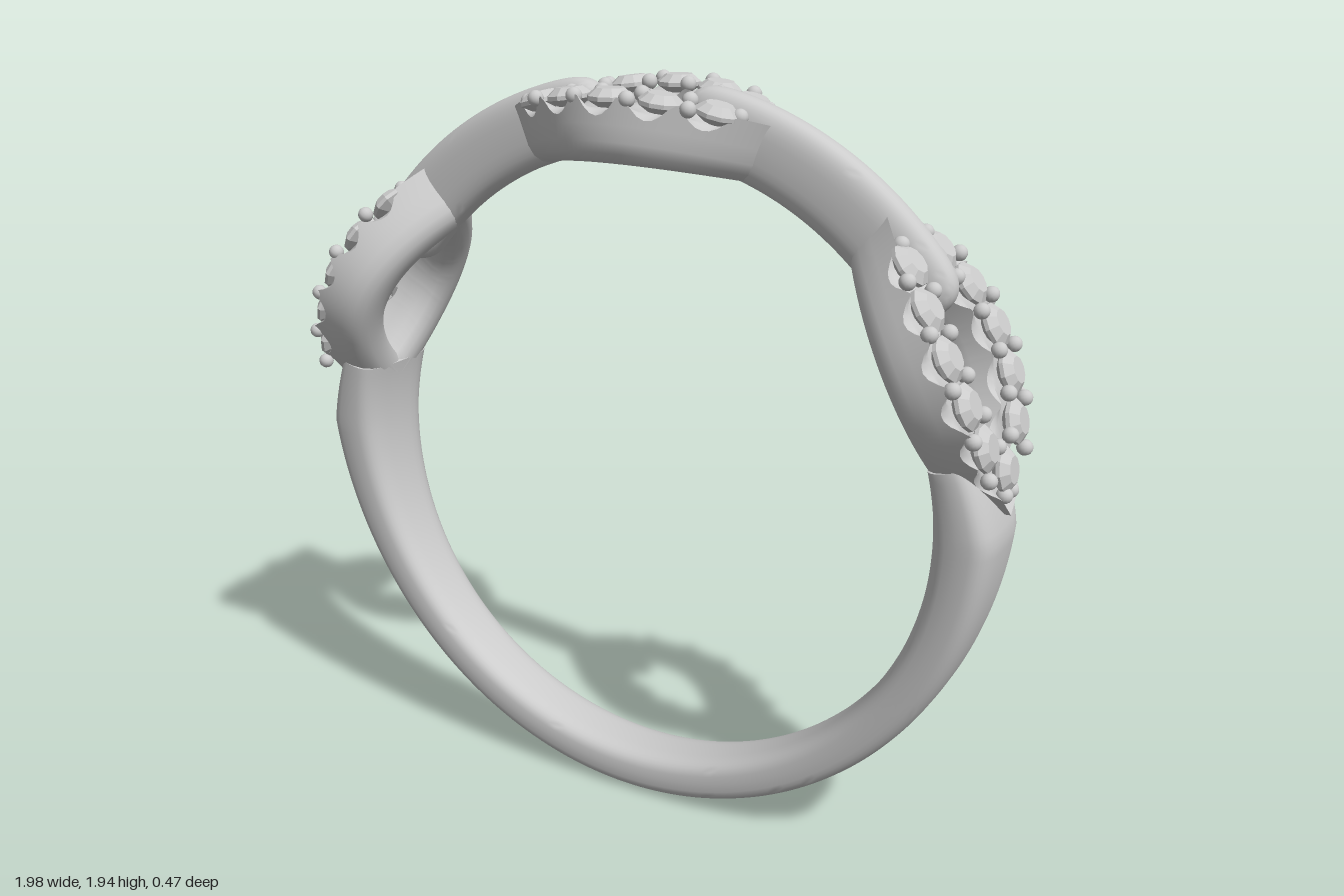
import * as THREE from 'three';
import { toCreasedNormals } from 'three/addons/utils/BufferGeometryUtils.js';

const CENTER_Y = 0.94;
const metal = new THREE.MeshStandardMaterial({ color: 0xcccccc });
const stoneMat = new THREE.MeshStandardMaterial({ color: 0xcccccc, flatShading: true });

// Ring coordinates: t = angle from the top towards +x, r = distance from the finger axis.
const polar = (t, r, z) => new THREE.Vector3(r * Math.sin(t), CENTER_Y + r * Math.cos(t), z);

// Skin closed cross-section loops; either join the last to the first or cap both ends.
function loft(rows, closed) {
  const n = rows[0].length, m = rows.length;
  const pts = rows.flat(), index = [];
  for (let i = 0; i < (closed ? m : m - 1); i++) {
    for (let j = 0; j < n; j++) {
      const a = i * n + j, b = i * n + (j + 1) % n;
      const c = ((i + 1) % m) * n + j, d = ((i + 1) % m) * n + (j + 1) % n;
      index.push(a, b, c, b, d, c);
    }
  }
  if (!closed) {
    for (let j = 1; j < n - 1; j++) {
      const e = (m - 1) * n;
      index.push(0, j + 1, j, e, e + j, e + j + 1);
    }
  }
  const geo = new THREE.BufferGeometry().setFromPoints(pts);
  geo.setIndex(index);
  return toCreasedNormals(geo, 0.75);
}

// Sweep a rounded-rectangle section round the ring; shape(u) gives t, rIn, rOut, half width w.
function sweep(steps, shape, power) {
  const rows = [];
  const soft = v => Math.sign(v) * Math.pow(Math.abs(v), power);
  for (let i = 0; i <= steps; i++) {
    const { t, rIn, rOut, w } = shape(i / steps);
    const row = [];
    for (let j = 0; j < 32; j++) {
      const a = (j / 32) * Math.PI * 2;
      row.push(polar(t, (rIn + rOut) / 2 + (rOut - rIn) / 2 * soft(Math.cos(a)), w * soft(Math.sin(a))));
    }
    rows.push(row);
  }
  return loft(rows, false);
}

// Band under the finger, thicker and wider towards the side links
function shankGeometry() {
  const start = 1.36, end = Math.PI * 2 - start;
  return sweep(120, u => {
    const t = start + (end - start) * u;
    const y = -Math.cos(t); // 0 at the sides, 1 at the bottom
    const rise = Math.min(1, Math.max(0, (y + 0.21) / 0.2));
    const side = Math.pow(1 - Math.max(0, y), 2);
    return {
      t, rIn: 0.82,
      rOut: 0.94 + 0.038 * side - 0.04 * (1 - rise),
      w: 0.09 + 0.042 * side + 0.06 * Math.max(0, -y),
    };
  }, 0.6);
}

// Slim bar whose rounded ends dip into the holes of two neighbouring links
function connectorGeometry() {
  const start = 0.12, end = 0.99, mid = 0.92;
  return sweep(60, u => {
    const e = -Math.cos(u * Math.PI);
    const k = Math.max(0.01, Math.sqrt(1 - Math.pow(Math.abs(e), 14)));
    return {
      t: start + (end - start) * (e + 1) / 2,
      rIn: mid - 0.1 * k, rOut: mid + 0.095 * k, w: 0.05 * k,
    };
  }, 0.7);
}

// Pointed oval frame centred on angle t0, with edges scalloped beside each stone
function linkGeometry(t0, stones) {
  const section = [ // u (0 = hole, 1 = outside), r, scallop depth
    [1, 0.983, 0.045], [0.9, 0.968, 0.02], [0.78, 0.952, 0], [0.22, 0.952, 0],
    [0.1, 0.965, 0.015], [0, 0.97, 0.03], [0, 0.91, 0], [0, 0.865, 0],
    [0.08, 0.84, 0], [0.25, 0.824, 0], [0.45, 0.82, 0], [0.65, 0.822, 0],
    [0.83, 0.832, 0], [0.95, 0.852, 0], [1, 0.88, 0], [1, 0.92, 0],
  ];
  const rows = [], N = 144;
  for (let i = 0; i < N; i++) {
    const phi = (i / N) * Math.PI * 2, c = Math.cos(phi), sn = Math.sin(phi);
    rows.push(section.map(([u, r, depth]) => {
      const s = c * (0.22 + 0.18 * u);
      const z = sn * Math.abs(sn) * (0.1 + 0.135 * u);
      const notch = Math.max(0, ...stones.map(q => 1 - ((s - q) / 0.052) ** 2));
      return polar(t0 + s / 0.97, r - depth * notch, z);
    }));
  }
  return loft(rows, true);
}

// Cut stone: flat table, sloping crown, girdle and pointed base
const stoneGeo = new THREE.LatheGeometry([
  [0, -0.04], [0.056, -0.004], [0.056, 0.006], [0.034, 0.024], [0, 0.024],
].map(p => new THREE.Vector2(...p)), 10);
const beadGeo = new THREE.SphereGeometry(0.02, 14, 10);

function createLink(t0, stones, name) {
  const link = new THREE.Group();
  link.name = name;
  const add = (geo, mat, part, s, r, z) => {
    const mesh = new THREE.Mesh(geo, mat);
    mesh.name = part;
    const t = t0 + s / 0.97;
    mesh.position.copy(polar(t, r, z));
    mesh.rotation.z = -t;
    link.add(mesh);
  };
  const frame = new THREE.Mesh(linkGeometry(t0, stones), metal);
  frame.name = 'linkFrame';
  link.add(frame);

  const zOf = s => 0.168 * (1 - (s / 0.36) ** 2);
  for (const side of [1, -1]) {
    stones.forEach((s, i) => {
      const tip = s > 0.28;
      if (!tip || side > 0) add(stoneGeo, stoneMat, 'stone', s, 0.972, tip ? 0 : side * zOf(s));
      // Pairs of holding beads in the gaps between stones
      if (i === stones.length - 1) return;
      const m = (s + stones[i + 1]) / 2;
      const slope = -2 * 0.168 * m / 0.36 ** 2, len = Math.hypot(1, slope);
      for (const d of [0.052, -0.05]) {
        add(beadGeo, metal, 'bead', m - d * slope / len, 0.98, side * (zOf(m) + d / len));
      }
    });
    // Beads closing each end of the row
    const last = stones[stones.length - 1], first = stones[0];
    add(beadGeo, metal, 'bead', last - 0.05, 0.98, side * (zOf(last) - 0.015));
    if (first > 0.28) add(beadGeo, metal, 'bead', first + 0.055, 0.975, side * 0.022);
    else add(beadGeo, metal, 'bead', first + 0.05, 0.98, side * (zOf(first) - 0.015));
  }
  return link;
}

export function createModel() {
  const ring = new THREE.Group();
  ring.name = 'ring';

  const shank = new THREE.Mesh(shankGeometry(), metal);
  shank.name = 'shank';
  ring.add(shank);

  ring.add(createLink(0, [0.245, 0.125, 0, -0.125, -0.245], 'topLink'));

  // Matching halves: a connector and a side link on each side
  for (const side of ['left', 'right']) {
    const half = new THREE.Group();
    half.name = side + 'Half';
    const connector = new THREE.Mesh(connectorGeometry(), metal);
    connector.name = side + 'Connector';
    half.add(connector, createLink(1.1, [0.29, 0.205, 0.095, -0.02, -0.135, -0.24], side + 'Link'));
    if (side === 'right') half.rotation.y = Math.PI;
    ring.add(half);
  }
  return ring;
}
